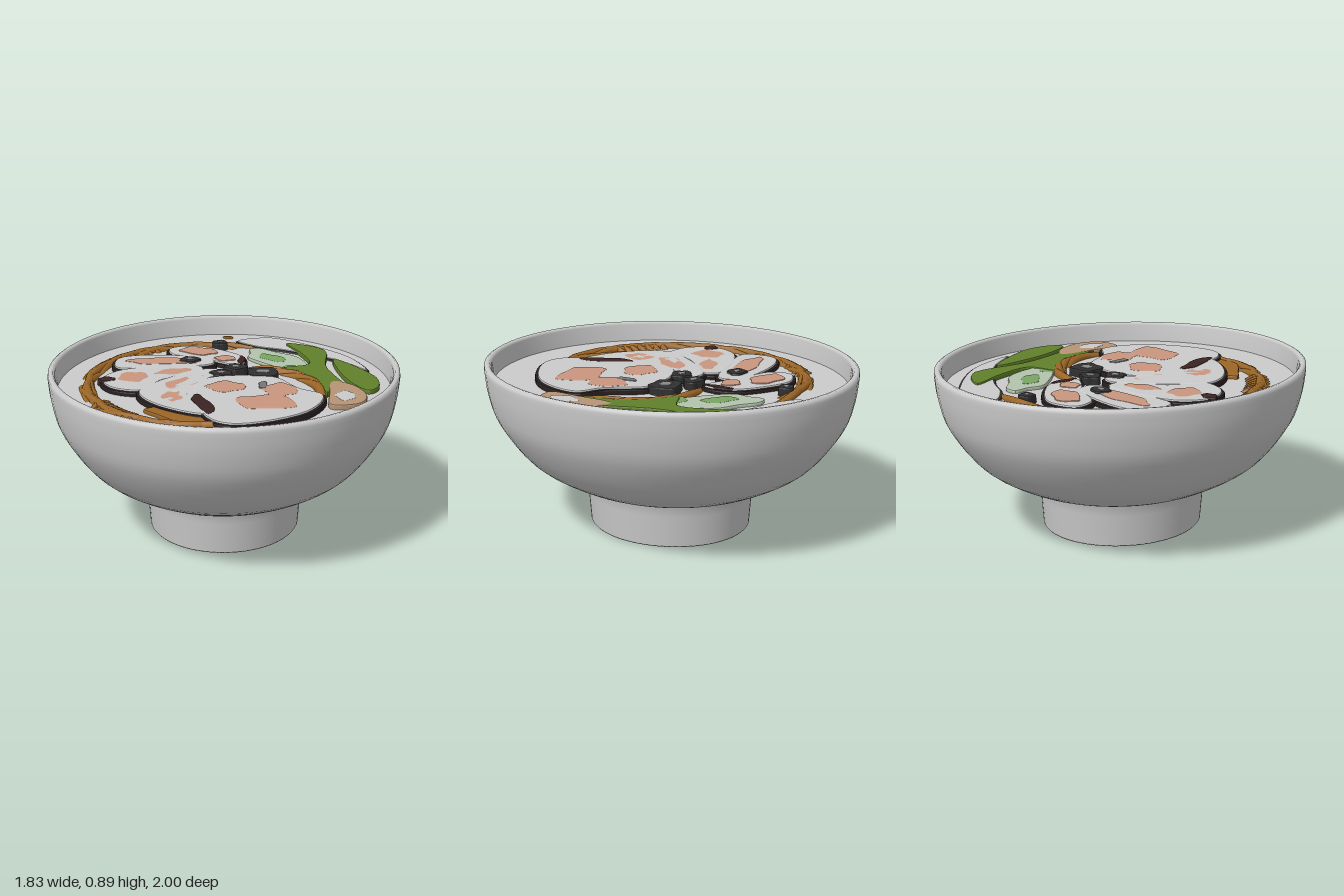
import * as THREE from 'three';

const GREY = 0xcccccc, NOODLE = 0x9c6626, MEAT = 0xc9967f, CHAR = 0x2a2020, LEAF = 0x60802a;
const SOUP_Y = 0.78, RX = 0.915;

const mat = (color, side = THREE.FrontSide) => new THREE.MeshStandardMaterial({ color, side });
const rad = THREE.MathUtils.degToRad;

function add(group, name, geometry, material) {
  const mesh = new THREE.Mesh(geometry, material);
  mesh.name = name;
  group.add(mesh);
  return mesh;
}

function subgroup(parent, name) {
  const group = new THREE.Group();
  group.name = name;
  parent.add(group);
  return group;
}

// Flat slab with a rounded edge lying on the soup; outline in [x, z], grown outwards by `grow`
function slab(group, name, outline, top, color, grow = 0) {
  const curve = new THREE.CatmullRomCurve3(outline.map(([x, z]) => new THREE.Vector3(x, z, 0)), true);
  const shape = new THREE.Shape(curve.getPoints(48).map((p) => new THREE.Vector2(p.x, p.y)));
  const bevel = 0.008;
  const geo = new THREE.ExtrudeGeometry(shape, {
    depth: top, bevelThickness: bevel, bevelSize: bevel, bevelOffset: grow - bevel, bevelSegments: 2,
  });
  geo.rotateX(Math.PI / 2).translate(0, SOUP_Y + top - bevel, 0);
  add(group, name, geo, mat(color));
}

// Wavy oval outline, turned by `turn` degrees
function blob(x, z, rx, rz, turn = 0, wave = 0.12) {
  const c = Math.cos(rad(turn)), s = Math.sin(rad(turn));
  return Array.from({ length: 12 }, (_, i) => {
    const a = (i / 12) * Math.PI * 2, w = 1 + wave * Math.sin(i * 2.3 + x * 20);
    const u = Math.cos(a) * rx * w, v = Math.sin(a) * rz * w;
    return [x + u * c - v * s, z + u * s + v * c];
  });
}

// Noodle half sunk in the soup: an arc of an oval whose radius drifts from k0 to k1
function noodle(group, cx, cz, rx, rz, from, to, k0, k1, r) {
  const points = Array.from({ length: 7 }, (_, i) => {
    const t = i / 6, a = rad(from + (to - from) * t), k = k0 + (k1 - k0) * t;
    const y = SOUP_Y - 0.02 + 0.026 * Math.sin(Math.PI * t);
    return new THREE.Vector3(cx + rx * k * Math.cos(a), y, cz + rz * k * Math.sin(a));
  });
  const path = new THREE.CatmullRomCurve3(points);
  add(group, 'noodle', new THREE.TubeGeometry(path, 18, r, 8), mat(NOODLE, THREE.DoubleSide));
}

function buildBowl(model) {
  // Foot, curved wall, rolled rim and inner wall in one profile
  const v = (x, y) => new THREE.Vector2(x, y);
  const wall = new THREE.SplineCurve([v(0.476, 0.243), v(0.585, 0.275), v(0.785, 0.395), v(0.935, 0.59), v(0.985, 0.74), v(1, 0.865)]);
  const profile = [
    v(0, 0.03), v(0.365, 0.03), v(0.385, 0.012), v(0.4, 0), v(0.433, 0), v(0.44, 0.008), v(0.452, 0.17), v(0.466, 0.235),
    ...wall.getPoints(20),
    v(0.998, 0.882), v(0.985, 0.89), v(0.97, 0.888), v(0.96, 0.875), v(0.95, 0.75),
  ];
  const shell = new THREE.LatheGeometry(profile, 72).scale(RX, 1, 1);
  add(model, 'bowl', shell, mat(GREY, THREE.DoubleSide));

  const surface = new THREE.CircleGeometry(0.955, 72).rotateX(-Math.PI / 2).scale(RX, 1, 1);
  add(model, 'soup', surface.translate(0, SOUP_Y, 0), mat(GREY));
}

function buildNoodles(model) {
  const noodles = subgroup(model, 'noodles');
  // Long strands around the meat
  for (let i = 0; i < 24; i++) {
    const from = 20 + i * 10, wobble = 0.05 * Math.sin(i * 2.1);
    noodle(noodles, -0.1, 0, 0.65, 0.72, from, from + 42, 0.95 + wobble, 0.95 - wobble, 0.024);
  }
  // Strands between the meat and the greens
  for (let i = 0; i < 4; i++) noodle(noodles, 0.12, 0.13, 0.4, 0.4, -100 + i * 20, -40 + i * 20, 0.88, 1.02, 0.026);
  // Loose ends fanning outwards at the left
  for (let i = 0; i < 7; i++) {
    noodle(noodles, -0.1, 0, 0.65, 0.72, 122 + i * 4, 118 + i * 4, 0.84, 1.03, 0.018);
    noodle(noodles, -0.1, 0, 0.65, 0.72, 208 + i * 5, 202 + i * 5, 0.88, 1.03, 0.018);
  }
  slab(noodles, 'noodleClump', blob(-0.18, 0.57, 0.2, 0.07, 35), 0.02, NOODLE);
  slab(noodles, 'noodleBit', blob(-0.22, 0.7, 0.045, 0.025), 0.012, NOODLE);
  slab(noodles, 'noodleBit', blob(-0.04, -0.865, 0.03, 0.015), 0.012, NOODLE);
}

function buildMeat(model) {
  const meat = subgroup(model, 'meat');
  // Pale slices with a charred edge, each overlapping the last
  const slices = [
    [[-0.35, -0.54], [-0.22, -0.6], [-0.1, -0.56], [0.08, -0.4], [0.07, -0.24], [-0.15, -0.35], [-0.32, -0.42]],
    [[-0.61, -0.32], [-0.46, -0.39], [-0.1, -0.35], [-0.08, -0.25], [-0.36, -0.16], [-0.59, -0.14]],
    [[-0.64, 0.06], [-0.56, -0.1], [-0.16, -0.21], [-0.12, -0.12], [-0.32, 0.06], [-0.4, 0.24], [-0.56, 0.21]],
    [[-0.42, 0.26], [-0.33, 0.07], [-0.1, -0.15], [-0.01, -0.12], [-0.12, 0.13], [-0.04, 0.58], [-0.3, 0.46]],
    [[-0.1, 0.03], [0.25, -0.03], [0.4, 0.16], [0.52, 0.25], [0.44, 0.52], [0.12, 0.72], [-0.01, 0.67], [-0.14, 0.28]],
  ];
  slices.forEach((outline, i) => {
    const top = 0.03 + i * 0.002;
    slab(meat, 'charredEdge', outline, top - 0.01, CHAR, 0.012);
    slab(meat, 'meatSlice', outline, top, GREY, -0.003);
  });
  // Pink patches
  [
    [-0.18, -0.48, 0.11, 0.07, 20], [-0.02, -0.35, 0.06, 0.05], [-0.36, -0.27, 0.2, 0.06, -5],
    [-0.48, 0.03, 0.08, 0.09], [-0.28, -0.08, 0.1, 0.05, -25], [-0.2, 0.1, 0.14, 0.07, -50],
    [-0.23, 0.33, 0.07, 0.09], [0.02, 0.17, 0.1, 0.09], [0.24, 0.4, 0.16, 0.11], [0.3, 0.2, 0.09, 0.11],
  ].forEach((patch, i) => slab(meat, 'pinkPatch', blob(...patch), 0.036 + (i > 6 ? 0.005 : 0), MEAT));
  // Dark streaks on the slice rims
  slab(meat, 'charStreak', blob(-0.07, 0.45, 0.16, 0.04, 68), 0.041, 0x3c2423);
  slab(meat, 'charStreak', blob(-0.61, 0.08, 0.045, 0.04), 0.038, 0x3c2423);
  slab(meat, 'charStreak', blob(0.07, -0.33, 0.02, 0.08), 0.034, 0x3c2423);
  slab(meat, 'seed', blob(0.21, 0.135, 0.025, 0.06), 0.044, 0x777777);
}

function buildGreens(model) {
  const greens = subgroup(model, 'greens');
  // Pale cabbage with a dark edge
  const cabbage = [[0.02, -0.77], [0.2, -0.85], [0.38, -0.76], [0.66, -0.5], [0.76, -0.24], [0.6, -0.42], [0.3, -0.6], [0.14, -0.66]];
  slab(greens, 'cabbageEdge', cabbage, 0.01, 0x333333, 0.008);
  slab(greens, 'cabbage', cabbage, 0.016, GREY, -0.002);

  slab(greens, 'paleLeaf', blob(0.27, -0.4, 0.25, 0.11, 50), 0.018, 0xb4c4ac);
  slab(greens, 'paleLeafTint', blob(0.24, -0.42, 0.1, 0.05, 40), 0.021, 0x79a562);
  slab(greens, 'paleLeafTint', blob(0.35, -0.24, 0.06, 0.05), 0.021, 0x79a562);
  slab(greens, 'leaf', [[0.31, -0.7], [0.52, -0.6], [0.54, -0.25], [0.67, 0.16], [0.58, 0.06], [0.54, 0.2],
    [0.48, -0.04], [0.3, -0.22], [0.44, -0.3], [0.4, -0.5]], 0.026, LEAF);
  slab(greens, 'leaf', [[0.58, -0.42], [0.8, -0.1], [0.8, 0.08], [0.75, 0.13], [0.64, -0.06]], 0.024, LEAF);
}

function createModel() {
  const model = new THREE.Group();
  buildBowl(model);
  buildNoodles(model);
  buildMeat(model);
  buildGreens(model);

  // Bamboo shoot
  slab(model, 'bambooShoot', [[0.57, 0], [0.67, 0.05], [0.74, 0.22], [0.7, 0.35], [0.56, 0.38], [0.55, 0.2]], 0.028, 0xb79474);
  slab(model, 'bambooHighlight', blob(0.63, 0.24, 0.05, 0.08), 0.031, GREY);

  // Dark mushrooms with pale caps
  const mushrooms = [[0.2, -0.09, 0.09], [-0.02, -0.06, 0.06], [0.05, -0.17, 0.06], [-0.21, -0.29, 0.055], [-0.07, -0.64, 0.045]];
  for (const [x, z, r] of mushrooms) {
    slab(model, 'mushroom', blob(x, z, r, r * 0.9), 0.044, 0x303030);
    slab(model, 'mushroomCap', blob(x, z, r * 0.45, r * 0.35), 0.048, 0x8a8a8a);
  }
  return model;
}

export { createModel };
